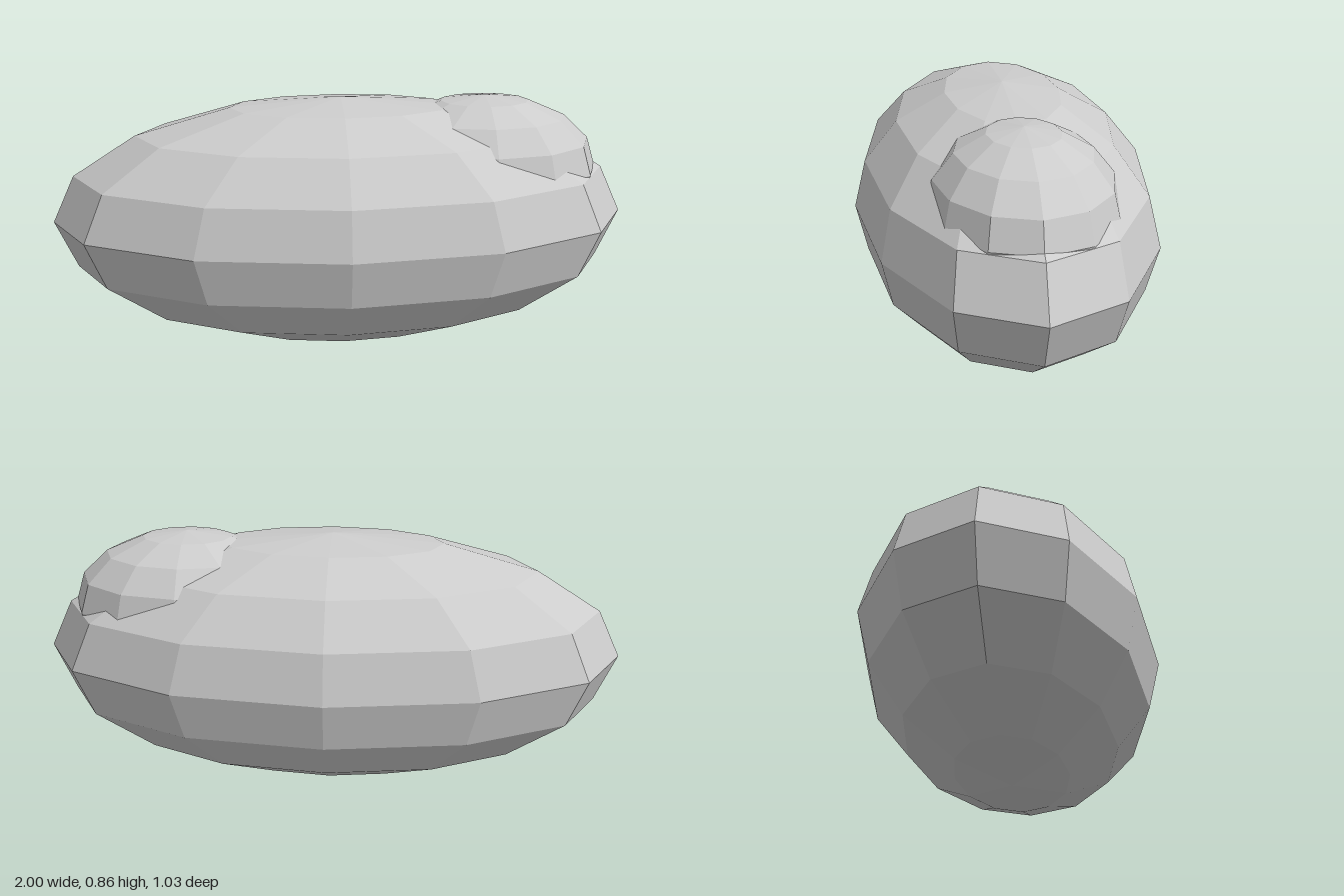
import * as THREE from 'three';

export function createModel() {
  const model = new THREE.Group();
  model.name = 'pebble';

  const stone = new THREE.MeshStandardMaterial({ color: 0xcccccc, flatShading: true });
  stone.name = 'light grey';

  // Low-poly ellipsoid with the given centre and radii
  function ellipsoid(name, centre, radii) {
    const geometry = new THREE.SphereGeometry(1, 12, 8).scale(...radii);
    const mesh = new THREE.Mesh(geometry, stone);
    mesh.name = name;
    mesh.position.set(...centre);
    model.add(mesh);
  }

  // Long main body and the smaller bump sunk into its top at one end
  ellipsoid('body', [0, 0.429, 0], [1, 0.429, 0.515]);
  ellipsoid('bump', [0.5, 0.601, 0], [0.4, 0.257, 0.308]);

  return model;
}
